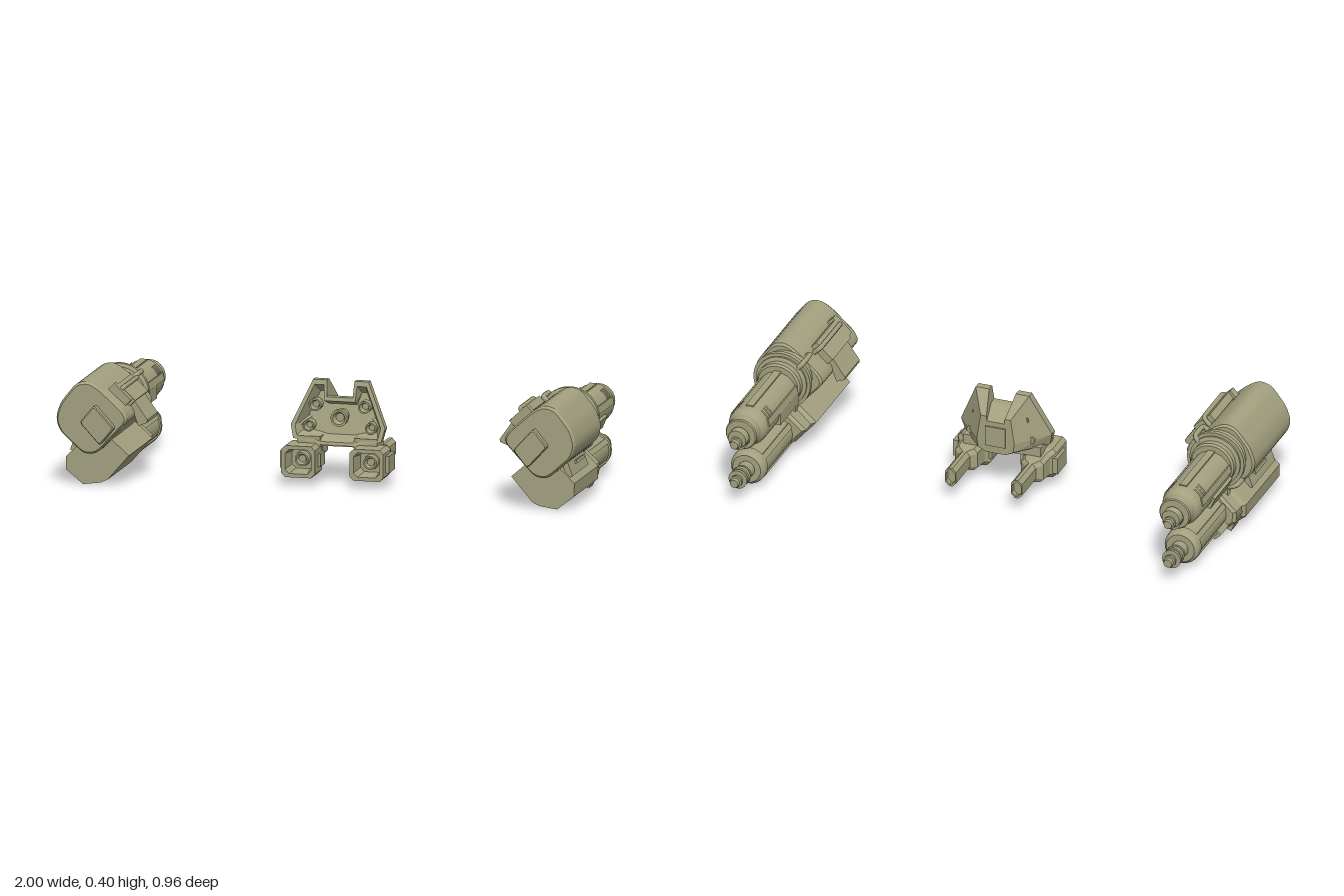
import * as THREE from 'three';
import { toCreasedNormals } from 'three/addons/utils/BufferGeometryUtils.js';

const olive = new THREE.MeshStandardMaterial({ color: 0xa3a17f });
olive.name = 'olive';

// Rounds every corner of a polygon by radius r
function rounded(points, r, steps = 4) {
  const out = [], v = points.map(p => new THREE.Vector2(...p)), n = v.length;
  v.forEach((p, i) => {
    const toward = q => p.clone().lerp(q, Math.min(0.45, r / p.distanceTo(q)));
    const a = toward(v[(i + n - 1) % n]), b = toward(v[(i + 1) % n]);
    const c = new THREE.QuadraticBezierCurve(a, p, b);
    c.getPoints(steps).forEach(q => out.push([q.x, q.y]));
  });
  return out;
}

// Skins counter-clockwise outlines [points, z or z(y)] and caps both ends
function loft(rings, crease = 0.5) {
  const R = rings.map(([pts, z]) => pts.map(([x, y]) => [x, y, typeof z === 'function' ? z(y) : z]));
  const pos = [], n = R[0].length, last = R.length - 1;
  const tri = (...p) => p.forEach(q => pos.push(...q));
  for (let i = 0; i < last; i++) for (let j = 0; j < n; j++) {
    const k = (j + 1) % n, a = R[i][j], b = R[i][k], c = R[i + 1][k], d = R[i + 1][j];
    tri(a, b, d); tri(b, c, d);
  }
  const cap = (ring, flip) => THREE.ShapeUtils.triangulateShape(ring.map(p => new THREE.Vector2(p[0], p[1])), [])
    .forEach(([a, b, c]) => flip ? tri(ring[c], ring[b], ring[a]) : tri(ring[a], ring[b], ring[c]));
  cap(R[0], true); cap(R[last], false);
  const g = new THREE.BufferGeometry();
  g.setAttribute('position', new THREE.Float32BufferAttribute(pos, 3));
  return toCreasedNormals(g, crease);
}

const scaled = (pts, cx, cy, s, t = s) => pts.map(([x, y]) => [cx + (x - cx) * s, cy + (y - cy) * t]);
const rect = (x, y, w, h) => [[x - w / 2, y - h / 2], [x + w / 2, y - h / 2], [x + w / 2, y + h / 2], [x - w / 2, y + h / 2]];

// Turned part along z; profile [radius, z] runs from back to front
function turned(profile, x, y, sides = 24) {
  const g = new THREE.LatheGeometry(profile.map(p => new THREE.Vector2(...p)), sides);
  return toCreasedNormals(g.rotateX(Math.PI / 2).translate(x, y, 0), 0.5);
}

function box(w, h, d, x, y, z, roll = 0) {
  return new THREE.BoxGeometry(w, h, d).rotateZ(roll).translate(x, y, z);
}

// Bent bar through corner points
function bar(points, r) {
  const path = new THREE.CurvePath(), v = points.map(p => new THREE.Vector3(...p));
  let from = v[0];
  for (let i = 1; i < v.length - 1; i++) {
    const a = v[i].clone().lerp(v[i - 1], 0.02 / v[i].distanceTo(v[i - 1]));
    const b = v[i].clone().lerp(v[i + 1], 0.02 / v[i].distanceTo(v[i + 1]));
    path.add(new THREE.LineCurve3(from, a));
    path.add(new THREE.QuadraticBezierCurve3(a, v[i], b));
    from = b;
  }
  path.add(new THREE.LineCurve3(from, v[v.length - 1]));
  return new THREE.TubeGeometry(path, 40, r, 8);
}

// Mirrors a geometry across x and restores its winding
function mirrored(geo) {
  const g = geo.index ? geo.toNonIndexed() : geo.clone();
  g.scale(-1, 1, 1);
  for (const a of Object.values(g.attributes)) {
    const s = a.itemSize, arr = a.array;
    for (let i = 0; i < arr.length; i += 3 * s) for (let k = 0; k < s; k++) {
      [arr[i + s + k], arr[i + 2 * s + k]] = [arr[i + 2 * s + k], arr[i + s + k]];
    }
  }
  return g;
}

function podParts() {
  const parts = [], add = (name, g) => parts.push([name, g]);
  // Upper housing
  const upper = rounded([[0.895, 0.13], [0.99, 0.215], [1.005, 0.265], [0.985, 0.325], [0.925, 0.4], [0.88, 0.41],
    [0.835, 0.385], [0.74, 0.3], [0.725, 0.265], [0.845, 0.135]], 0.025);
  const small = scaled(upper, 0.866, 0.268, 0.94);
  add('upperHousing', loft([[small, 0.066], [upper, 0.074], [upper, 0.438], [small, 0.45]]));
  const panel = rounded([[0.825, 0.173], [0.903, 0.258], [0.848, 0.325], [0.77, 0.24]], 0.012);
  add('frontPanel', loft([[panel, 0.44], [panel, 0.476], [scaled(panel, 0.837, 0.25, 0.92), 0.481]]));
  // Lower housing, tapering behind
  const lower = [[0.738, 0.12], [0.82, 0.025], [0.85, 0.012], [0.915, 0.003], [0.98, 0.055], [0.982, 0.105], [0.905, 0.18], [0.83, 0.2]];
  const rear = scaled(lower, 0.872, 0.095, 0.88);
  add('lowerHousing', loft([[scaled(rear, 0.872, 0.095, 0.88), -0.042], [rear, -0.03], [rear, 0.02], [lower, 0.035], [lower, 0.38]], 0.3));
  // Collars
  add('upperCollar', turned([[0, -0.03], [0.08, -0.03], [0.087, -0.022], [0.087, 0], [0.101, 0.005], [0.101, 0.012],
    [0.114, 0.012], [0.114, 0.03], [0.101, 0.035], [0.101, 0.068], [0, 0.068]], 0.868, 0.283, 32));
  // Barrels with stepped muzzles
  add('upperBarrel', turned([[0, -0.45], [0.035, -0.45], [0.037, -0.446], [0.037, -0.42], [0.03, -0.41], [0.058, -0.41], [0.062, -0.405],
    [0.062, -0.365], [0.074, -0.345], [0.076, -0.32], [0.076, -0.02], [0, -0.02]], 0.868, 0.264));
  add('lowerBarrel', turned([[0, -0.385], [0.032, -0.385], [0.032, -0.35], [0.056, -0.35], [0.068, -0.335], [0.07, -0.31],
    [0.064, -0.308], [0.064, -0.03], [0, -0.03]], 0.868, 0.09));
  for (const [name, y] of [['upperNozzle', 0.253], ['lowerNozzle', 0.09]]) {
    add(name, turned([[0, -0.48], [0.016, -0.48], [0.018, -0.475], [0.018, -0.466], [0.024, -0.464], [0.024, -0.455], [0.018, -0.452],
      [0.02, -0.442], [0.037, -0.442], [0.037, -0.43], [0.032, -0.428], [0.032, -0.42], [0.037, -0.418], [0.037, -0.402],
      [0.025, -0.398], [0.025, -0.38], [0, -0.38]], 0.868, y, 16));
  }
  // Ribs and long rails on the barrels
  for (const z of [-0.27, -0.29, -0.31]) {
    for (const turn of [0.1, 2.2]) {
      add('coolingRib', new THREE.TorusGeometry(0.075, 0.004, 6, 10, 0.9).rotateZ(turn).translate(0.868, 0.264, z));
    }
  }
  for (const a of [0.25, 1.57, 2.9, 4.71]) {
    add('upperRail', box(0.012, 0.028, 0.29, 0.868 + 0.074 * Math.cos(a), 0.264 + 0.074 * Math.sin(a), -0.175, a));
  }
  for (const a of [0.6, 2.5, 5.5, 3.9]) {
    add('lowerRail', box(0.01, 0.022, 0.28, 0.868 + 0.064 * Math.cos(a), 0.09 + 0.064 * Math.sin(a), -0.17, a));
  }
  add('innerBarrelPanel', box(0.03, 0.05, 0.19, 0.802, 0.245, -0.115));
  add('outerBarrelPanel', box(0.014, 0.05, 0.18, 0.937, 0.225, -0.12, -0.4));
  add('lowerBarrelPanel', box(0.025, 0.035, 0.09, 0.92, 0.043, -0.075, -0.8));
  // Bridge between housings and outer plate
  add('bridge', box(0.11, 0.1, 0.36, 0.865, 0.17, 0.18, 0.1));
  add('outerPlate', box(0.022, 0.068, 0.23, 0.948, 0.157, 0.247, 0.35));
  add('outerPlateRidge', box(0.008, 0.012, 0.11, 0.962, 0.168, 0.23, 0.35));
  add('outerClamp', bar([[0.9, 0.17, 0.02], [0.95, 0.188, 0.02], [0.95, 0.188, 0.12], [0.9, 0.2, 0.12]], 0.011));
  add('rearClamp', box(0.03, 0.07, 0.06, 0.945, 0.055, 0.005, -0.4));
  // Inner side: handle and hinged flap
  add('handle', bar([[0.8, 0.34, 0.36], [0.765, 0.375, 0.36], [0.765, 0.375, 0.15], [0.8, 0.34, 0.15]], 0.009));
  add('handleFoot', box(0.035, 0.09, 0.03, 0.775, 0.35, 0.365, -0.8));
  add('upperClamp', bar([[0.81, 0.35, 0.1], [0.785, 0.37, 0.1], [0.785, 0.37, 0.01], [0.81, 0.34, 0.01]], 0.01));
  add('flapMount', box(0.03, 0.09, 0.19, 0.765, 0.345, 0.255, -0.82));
  const flap = [[0.715, 0.225], [0.74, 0.29], [0.76, 0.32], [0.74, 0.335], [0.695, 0.27], [0.68, 0.25], [0.682, 0.238]];
  add('flap', loft([[flap, 0.18], [flap, 0.33]], 0.3));
  return parts;
}

function thrusterParts() {
  const parts = [], add = (name, g) => parts.push([name, g]);
  // Lower pod: hollow front, tapered to a narrow tail
  const x = 0.132, y = 0.094;
  const frame = (w, h) => rounded(rect(x, y, w, h), 0.015, 1);
  add('boxPod', loft([[frame(0.036, 0.06), -0.125], [frame(0.036, 0.06), -0.143], [frame(0.044, 0.075), -0.143], [frame(0.044, 0.075), 0.0],
    [frame(0.09, 0.09), 0.02], [frame(0.1, 0.1), 0.075], [frame(0.13, 0.12), 0.1], [frame(0.13, 0.12), 0.205],
    [frame(0.1, 0.092), 0.205], [frame(0.085, 0.078), 0.13]], 0.3));
  add('podNozzle', turned([[0, 0.12], [0.03, 0.12], [0.026, 0.155], [0.02, 0.155], [0.014, 0.14], [0, 0.14]], x, y, 16));
  add('podFlange', box(0.02, 0.065, 0.09, 0.2, y, 0.125));
  add('podInnerFlange', box(0.012, 0.05, 0.07, 0.064, y, 0.125));
  add('podMount', box(0.09, 0.04, 0.09, 0.11, 0.16, 0.09));
  // Nozzles in the recess
  for (const [nx, ny, r] of [[0.095, 0.292, 0.024], [0.12, 0.212, 0.022]]) {
    add('nozzle', turned([[0, 0.03], [r * 0.7, 0.03], [r * 0.7, 0.06], [r, 0.065], [r, 0.1], [r * 0.75, 0.1], [r * 0.5, 0.08], [0, 0.08]], nx, ny, 16));
  }
  // Side ribs of the shell
  add('shellRib', bar([[0.06, 0.29, 0.0], [0.115, 0.245, 0.045], [0.178, 0.2, 0.115]], 0.007));
  return parts;
}

export function createModel() {
  const model = new THREE.Group();
  const put = (group, name, geo) => {
    const m = new THREE.Mesh(geo, olive);
    m.name = name;
    group.add(m);
  };
  for (const [label, parts] of [['Pod', podParts()], ['Thruster', thrusterParts()]]) {
    for (const side of ['left', 'right']) {
      const g = new THREE.Group();
      g.name = side + label;
      parts.forEach(([name, geo]) => put(g, name, side === 'left' ? geo : mirrored(geo)));
      model.add(g);
    }
  }
  // Notched central shell with a recessed front
  const centre = new THREE.Group();
  centre.name = 'centreUnit';
  const both = half => [...half.map(([x, y]) => [-x, y]), ...half.slice().reverse()];
  const back = both([[0.035, 0.29], [0.037, 0.31], [0.06, 0.31], [0.075, 0.21], [0.07, 0.175], [0.04, 0.16]]);
  const outer = both([[0.05, 0.325], [0.053, 0.386], [0.107, 0.386], [0.182, 0.22], [0.17, 0.17], [0.06, 0.15]]);
  const inner = both([[0.06, 0.31], [0.064, 0.368], [0.1, 0.368], [0.165, 0.22], [0.157, 0.182], [0.055, 0.162]]);
  const floor = both([[0.055, 0.29], [0.07, 0.335], [0.09, 0.335], [0.14, 0.22], [0.135, 0.2], [0.05, 0.18]]);
  const tilt = z => y => z - 0.25 * (y - 0.17);
  put(centre, 'shell', loft([[back, -0.02], [outer, tilt(0.105)], [outer, tilt(0.135)], [inner, tilt(0.135)], [floor, tilt(0.075)]], 0.2));
  put(centre, 'centreNozzle', turned([[0, 0.02], [0.026, 0.02], [0.026, 0.08], [0.032, 0.085], [0.032, 0.11], [0.024, 0.11], [0.016, 0.09], [0, 0.09]], 0, 0.248, 20));
  put(centre, 'crossBeam', box(0.16, 0.025, 0.05, 0, 0.15, 0.07));
  put(centre, 'backPlate', box(0.08, 0.08, 0.012, 0, 0.23, -0.02));
  model.add(centre);
  return model;
}
